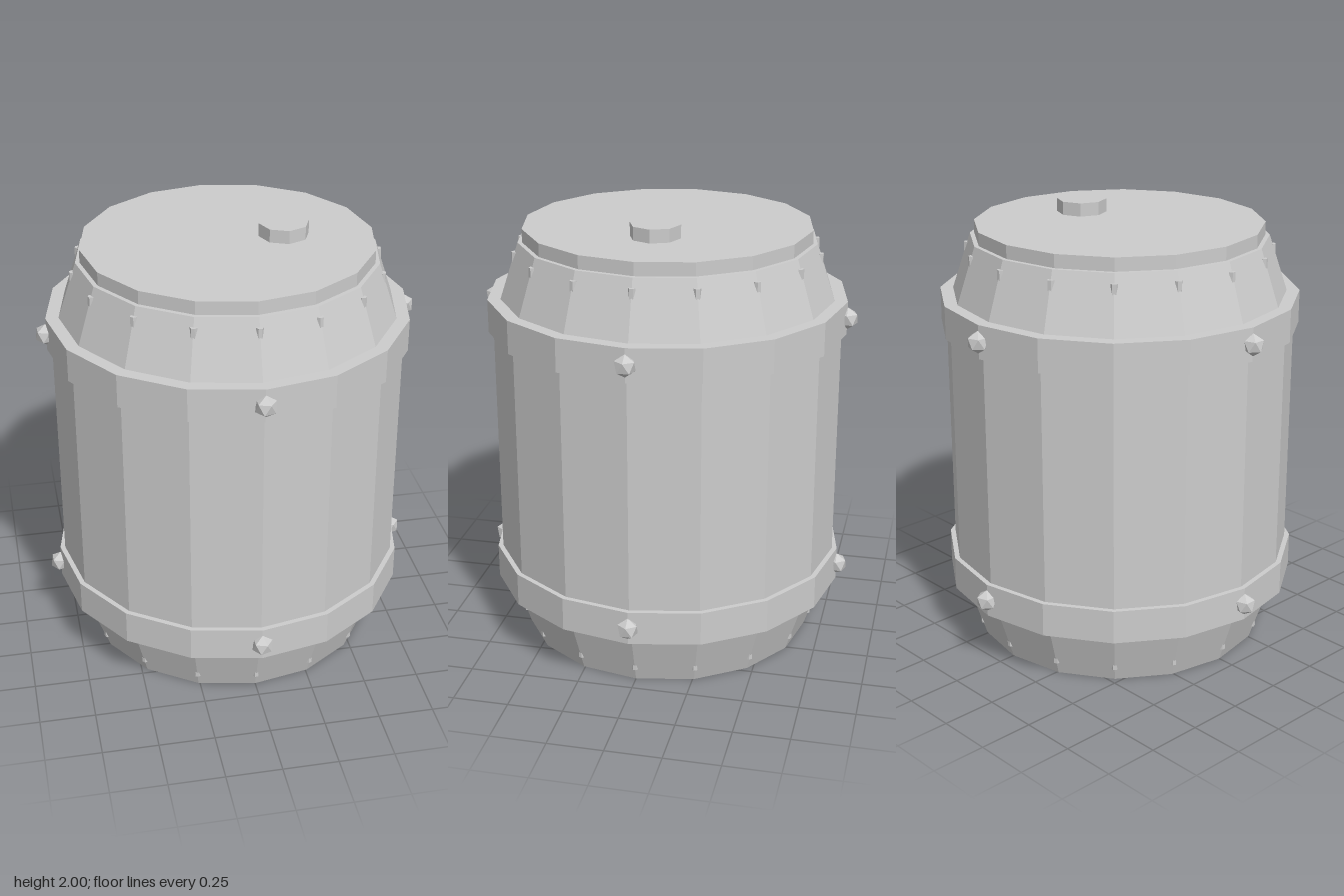
import * as THREE from 'three';

const SIDES = 16;

// Splits shared vertices so every facet is shaded flat
function faceted(geometry) {
  const g = geometry.index ? geometry.toNonIndexed() : geometry;
  g.computeVertexNormals();
  return g;
}

export function createModel() {
  const barrel = new THREE.Group();
  barrel.name = 'barrel';
  const grey = new THREE.MeshStandardMaterial({ color: 0xcccccc });
  grey.name = 'plainGrey';

  function add(name, geometry, x = 0, y = 0, z = 0) {
    const mesh = new THREE.Mesh(geometry, grey);
    mesh.name = name;
    mesh.position.set(x, y, z);
    barrel.add(mesh);
    return mesh;
  }

  function drum(name, radius, bottom, top, sides = SIDES, x = 0) {
    const g = faceted(new THREE.CylinderGeometry(radius, radius, top - bottom, sides));
    return add(name, g, x, (bottom + top) / 2);
  }

  // Body: straight sides with tapered ends
  const profile = [[0, 0], [0.67, 0], [0.79, 0.365], [0.79, 1.52], [0.67, 1.88], [0, 1.88]];
  const points = profile.map(([r, y]) => new THREE.Vector2(r, y));
  add('body', faceted(new THREE.LatheGeometry(points, SIDES)));

  // Lid and the off-centre bung
  drum('lid', 0.65, 1.88, 1.94);
  drum('bung', 0.113, 1.94, 2.0, 8, 0.25);

  // Two hoops, each with four rivets
  const rivet = faceted(new THREE.IcosahedronGeometry(0.05, 0));
  rivet.rotateZ(-Math.atan(2 / (1 + Math.sqrt(5)))); // one vertex straight up
  [['lower', 0.26, 0.414], ['upper', 1.475, 1.626]].forEach(([level, bottom, top]) => {
    drum(level + 'Hoop', 0.813, bottom, top);
    for (let i = 0; i < 4; i++) {
      const a = (i * Math.PI) / 2;
      add(level + 'Rivet', rivet, Math.sin(a) * 0.815, (bottom + top) / 2, Math.cos(a) * 0.815);
    }
  });

  // Stave pins, whose ends break through the tapered ends of the body
  const pin = faceted(new THREE.CylinderGeometry(0.016, 0.016, 1.78, 6, 1, false, Math.PI / 6));
  for (let i = 0; i < SIDES; i++) {
    const a = (i * 2 * Math.PI) / SIDES;
    const mesh = add('stavePin', pin, Math.sin(a) * 0.683, 0.95, Math.cos(a) * 0.683);
    mesh.rotation.y = a;
  }

  return barrel;
}
